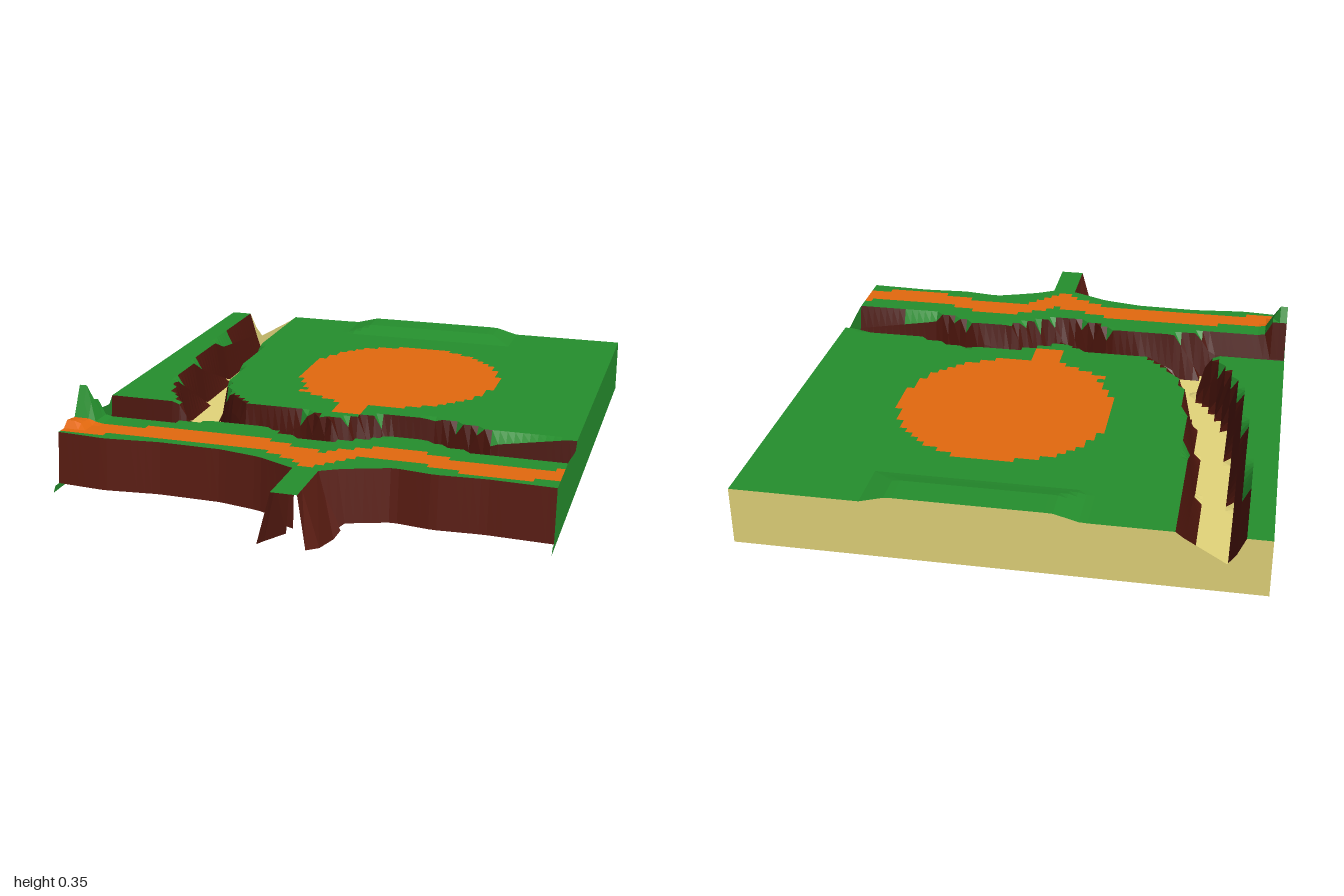
import * as THREE from 'three';

const W = 0.88, STEP = 0.0275, TOP = 0.235, FLOOR = 0.05;

// Piecewise-linear curve through [input, value] pairs
const curve = (pts) => (t) => {
  if (t <= pts[0][0]) return pts[0][1];
  for (let i = 1; i < pts.length; i++) {
    const [a, u] = pts[i - 1], [b, v] = pts[i];
    if (t <= b) return u + (v - u) * (t - a) / (b - a);
  }
  return pts[pts.length - 1][1];
};
const ramp = (t, a, b) => Math.min(1, Math.max(0, (t - a) / (b - a)));

// Plan lines: cross canal, side canal, dirt road and front cliff
const crossCanal = [[-0.88, 0.37], [-0.6, 0.37], [-0.45, 0.325], [-0.3, 0.315], [-0.15, 0.33],
  [-0.05, 0.385], [0, 0.4], [0.05, 0.385], [0.15, 0.32], [0.22, 0.29], [0.36, 0.285],
  [0.45, 0.315], [0.56, 0.36], [0.88, 0.37]];
const sideCanal = [[-0.69, -1], [-0.68, -0.6], [-0.655, -0.3], [-0.62, 0], [-0.57, 0.12], [-0.5, 0.22], [-0.4, 0.31]];
const road = curve([[-0.88, 0.63], [-0.78, 0.615], [-0.6, 0.605], [-0.3, 0.585], [-0.12, 0.61], [0, 0.66],
  [0.06, 0.69], [0.14, 0.62], [0.25, 0.56], [0.37, 0.56], [0.5, 0.61], [0.75, 0.62], [0.88, 0.6]]);
const cliff = curve([[-0.88, 0.69], [-0.7, 0.705], [-0.5, 0.685], [-0.27, 0.69], [-0.12, 0.72], [0, 0.775],
  [0.02, 0.785], [0.11, 0.785], [0.17, 0.75], [0.25, 0.72], [0.34, 0.69], [0.48, 0.71], [0.65, 0.7], [0.88, 0.71]]);
const cliffBottom = curve([[-0.08, 0.05], [0, 0.03], [0.16, 0.025], [0.19, 0.05]]);
// Skirt rims where the canals meet the edges
const backRim = curve([[-0.8, TOP], [-0.75, 0.13], [-0.57, TOP]]);
const sideRim = curve([[0.24, TOP], [0.26, 0.205], [0.33, 0.212], [0.47, TOP]]);

function pathDistance(x, z, pts) {
  let best = Infinity;
  for (let i = 1; i < pts.length; i++) {
    const [ax, az] = pts[i - 1], dx = pts[i][0] - ax, dz = pts[i][1] - az;
    const t = ramp((x - ax) * dx + (z - az) * dz, 0, dx * dx + dz * dz);
    best = Math.min(best, Math.hypot(x - ax - t * dx, z - az - t * dz));
  }
  return best;
}
const canalDistance = (x, z) =>
  Math.min(pathDistance(x, z, crossCanal), pathDistance(x, z, sideCanal) + 0.006);

function height(x, z) {
  let y = FLOOR + (TOP - FLOOR) * ramp(canalDistance(x, z), 0.07, 0.104);
  // low plateau at the back
  y += 0.024 * Math.min(ramp(x, -0.28, -0.19), ramp(-x, -0.44, -0.35), ramp(-z, 0.81, 0.89));
  // small peak at the left edge and the mound beside it
  y += 0.12 * Math.min(ramp(-x, 0.795, 0.85), ramp(z, 0.465, 0.505), ramp(-z, -0.575, -0.512));
  y += 0.022 * Math.min(ramp(-x, 0.8, 0.84), ramp(z, 0.57, 0.6), ramp(-z, -0.65, -0.63));
  return y;
}

// Colour of a cell from its corner heights and its centre
function surfaceAt(x, z, corners) {
  const low = Math.min(...corners), high = Math.max(...corners);
  if (high < FLOOR + 0.03) return 'canalBed';
  if (low < 0.175) return 'earthBanks';
  const inDisc = Math.hypot(x - 0.1, z + 0.285) < 0.388;
  const inNeck = z > 0 && z < 0.21 && Math.abs(x - 0.02) < Math.max(0.05, 0.25 - 1.9 * z);
  const onRoad = Math.abs(z - road(x)) < 0.052 + 0.02 * ramp(-Math.abs(x - 0.06), -0.12, -0.02);
  return inDisc || inNeck || onRoad ? 'dirt' : 'grass';
}

export function createModel() {
  const group = new THREE.Group();
  group.name = 'terrain';
  const colors = { grass: 0x258e2d, dirt: 0xe2680e, canalBed: 0xe2d47a, earthBanks: 0x4c150c,
    cliffFace: 0x5a1c12, sideSkirts: 0x258e2d, backSkirt: 0xe2d47a };
  const faces = Object.fromEntries(Object.keys(colors).map((k) => [k, []]));
  const quad = (part, a, b, c, d) => faces[part].push(...a, ...b, ...c, ...a, ...c, ...d);

  const nx = 64, nz = 66;
  const xAt = (i) => -W + i * STEP;
  const zAt = (i, j) => Math.min(-1 + j * STEP, cliff(xAt(i)));
  const vertex = (i, j) => {
    const x = xAt(i), z = zAt(i, j);
    return [x, height(x, z), z];
  };

  // Ground cells, cut off along the cliff line
  for (let i = 0; i < nx; i++) {
    for (let j = 0; j < nz; j++) {
      const a = vertex(i, j), b = vertex(i, j + 1), c = vertex(i + 1, j + 1), d = vertex(i + 1, j);
      if (b[2] - a[2] < 1e-6 && c[2] - d[2] < 1e-6) continue;
      const heights = [a[1], b[1], c[1], d[1]];
      quad(surfaceAt((a[0] + c[0]) / 2, (a[2] + b[2] + c[2] + d[2]) / 4, heights), a, b, c, d);
    }
  }

  // Back skirt and front cliff, which is open where the spur joins
  const foot = (x) => [x, cliffBottom(x), cliff(x) + 0.022];
  for (let i = 0; i < nx; i++) {
    const [xa, ya] = vertex(i, 0), [xb, yb] = vertex(i + 1, 0);
    quad('backSkirt', [xb, Math.max(yb, backRim(xb)), -1], [xb, 0.03, -1],
      [xa, 0.03, -1], [xa, Math.max(ya, backRim(xa)), -1]);
    const c = vertex(i, nz), d = vertex(i + 1, nz), mid = (c[0] + d[0]) / 2;
    if (mid < 0.02 || mid > 0.11) quad('cliffFace', c, foot(c[0]), foot(d[0]), d);
  }

  // Side skirts, each ending in a low toe that runs out past the foot of the cliff
  for (const s of [-1, 1]) {
    const i = s < 0 ? 0 : nx;
    const wall = (a, b, b0, a0) => (s > 0 ? quad('sideSkirts', a, b, b0, a0) : quad('sideSkirts', a, a0, b0, b));
    for (let j = 0; j < nz; j++) {
      const [x, ya, za] = vertex(i, j), [, yb, zb] = vertex(i, j + 1);
      if (zb - za < 1e-6) continue;
      wall([x, Math.max(ya, sideRim(za)), za], [x, Math.max(yb, sideRim(zb)), zb], [x, 0.03, zb], [x, 0.03, za]);
    }
    const corner = vertex(i, nz), [x, , z] = corner;
    wall(corner, foot(x), [x, 0.03, z + 0.022], [x, 0.03, z]);
    wall(foot(x), [x, 0.05, z + 0.05], [x, 0.03, z + 0.065], [x, 0.03, z + 0.022]);
  }

  // Open-ended spur at the front: sections of z, bottom left x, bottom right x, bottom y
  const spur = [[0.77, -0.01, 0.18, 0.025], [0.8, 0, 0.165, 0.005], [0.95, -0.022, 0.165, 0.04],
    [1, -0.03, 0.135, 0.05]].map(([z, l, r, y]) => [[l, y, z], [0.02, TOP, z], [0.11, TOP, z], [r, y, z]]);
  for (let k = 0; k < spur.length - 1; k++) {
    const p = spur[k], q = spur[k + 1];
    ['cliffFace', 'grass', 'cliffFace'].forEach((part, m) => quad(part, p[m], q[m], q[m + 1], p[m + 1]));
  }

  for (const [name, positions] of Object.entries(faces)) {
    const geometry = new THREE.BufferGeometry();
    geometry.setAttribute('position', new THREE.Float32BufferAttribute(positions, 3));
    geometry.computeVertexNormals();
    const mesh = new THREE.Mesh(geometry, new THREE.MeshStandardMaterial({
      color: colors[name], flatShading: true, side: THREE.DoubleSide }));
    mesh.name = name;
    group.add(mesh);
  }
  return group;
}
